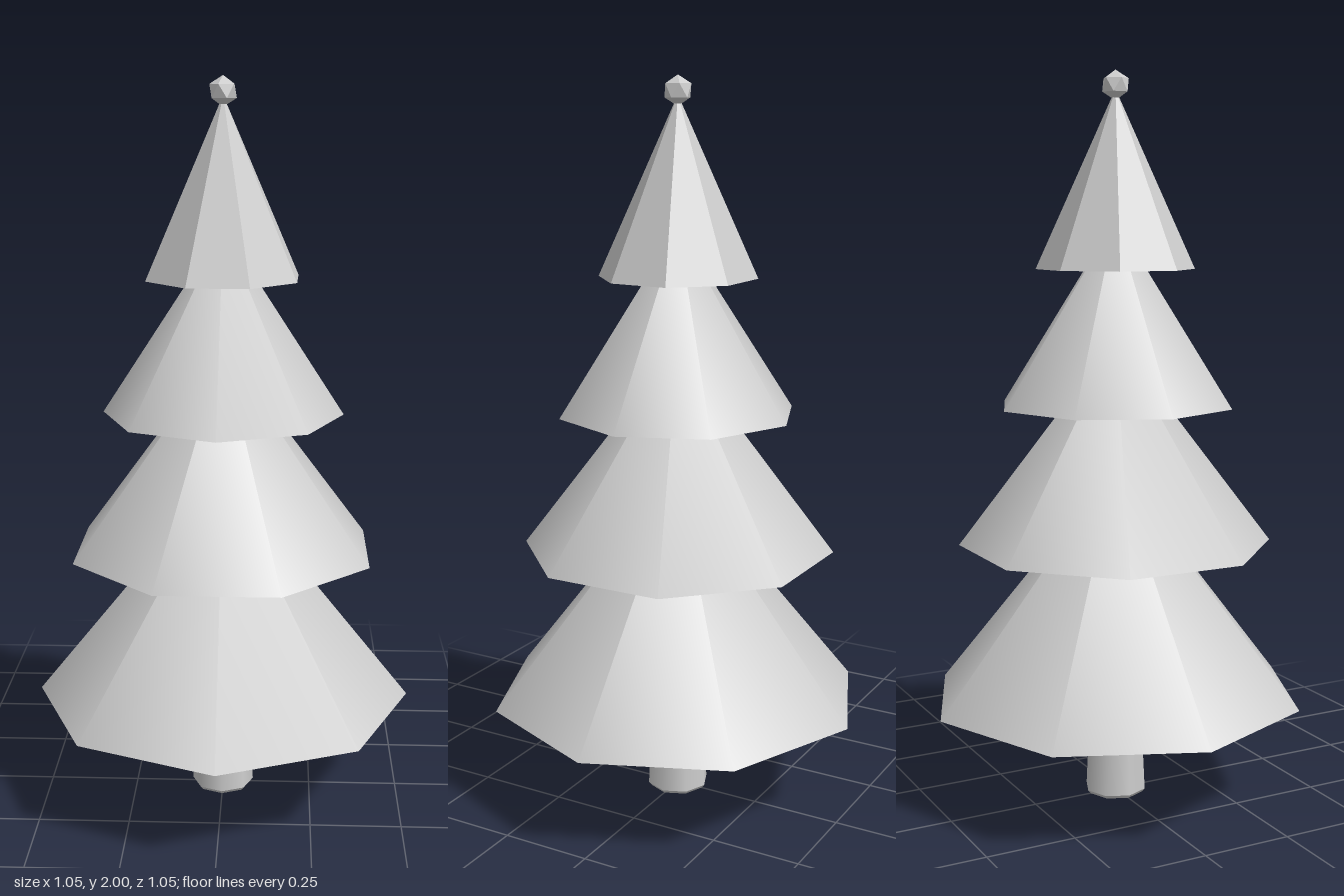
import * as THREE from 'three';

const SIDES = 8;

export function createModel() {
  const tree = new THREE.Group();
  tree.name = 'tree';

  const grey = new THREE.MeshStandardMaterial({ color: 0xcccccc });
  grey.name = 'light grey';
  // same colour, faceted
  const facetedGrey = grey.clone();
  facetedGrey.flatShading = true;

  function add(name, geometry, material, y, turn = 0) {
    const mesh = new THREE.Mesh(geometry, material);
    mesh.name = name;
    mesh.position.y = y;
    mesh.rotation.y = turn;
    tree.add(mesh);
  }

  // Trunk: tapered shaft above a small bevelled foot
  add('trunk', new THREE.CylinderGeometry(0.07, 0.087, 0.34, SIDES, 1, true), grey, 0.18);
  add('trunkFoot', new THREE.CylinderGeometry(0.087, 0.079, 0.01, SIDES), grey, 0.005);

  // Foliage: stacked eight-sided cones, every other one turned half a side
  const halfSide = Math.PI / SIDES;
  const tiers = [
    { name: 'bottomBranches', base: 0.285, apex: 0.937, radius: 0.525, turn: 0, material: grey },
    { name: 'lowerBranches', base: 0.72, apex: 1.29, radius: 0.433, turn: halfSide, material: grey },
    { name: 'upperBranches', base: 1.105, apex: 1.61, radius: 0.329, turn: -0.015, material: grey },
    { name: 'topBranches', base: 1.475, apex: 1.95, radius: 0.216, turn: halfSide - 0.03, material: facetedGrey },
  ];
  for (const { name, base, apex, radius, turn, material } of tiers) {
    const height = apex - base;
    add(name, new THREE.ConeGeometry(radius, height, SIDES), material, base + height / 2, turn);
  }

  // Faceted ball on the tip, one corner pointing up
  const ball = new THREE.IcosahedronGeometry(0.04, 0);
  ball.rotateZ(Math.atan(2 / (1 + Math.sqrt(5))));
  add('topBall', ball, facetedGrey, 1.96);

  return tree;
}
